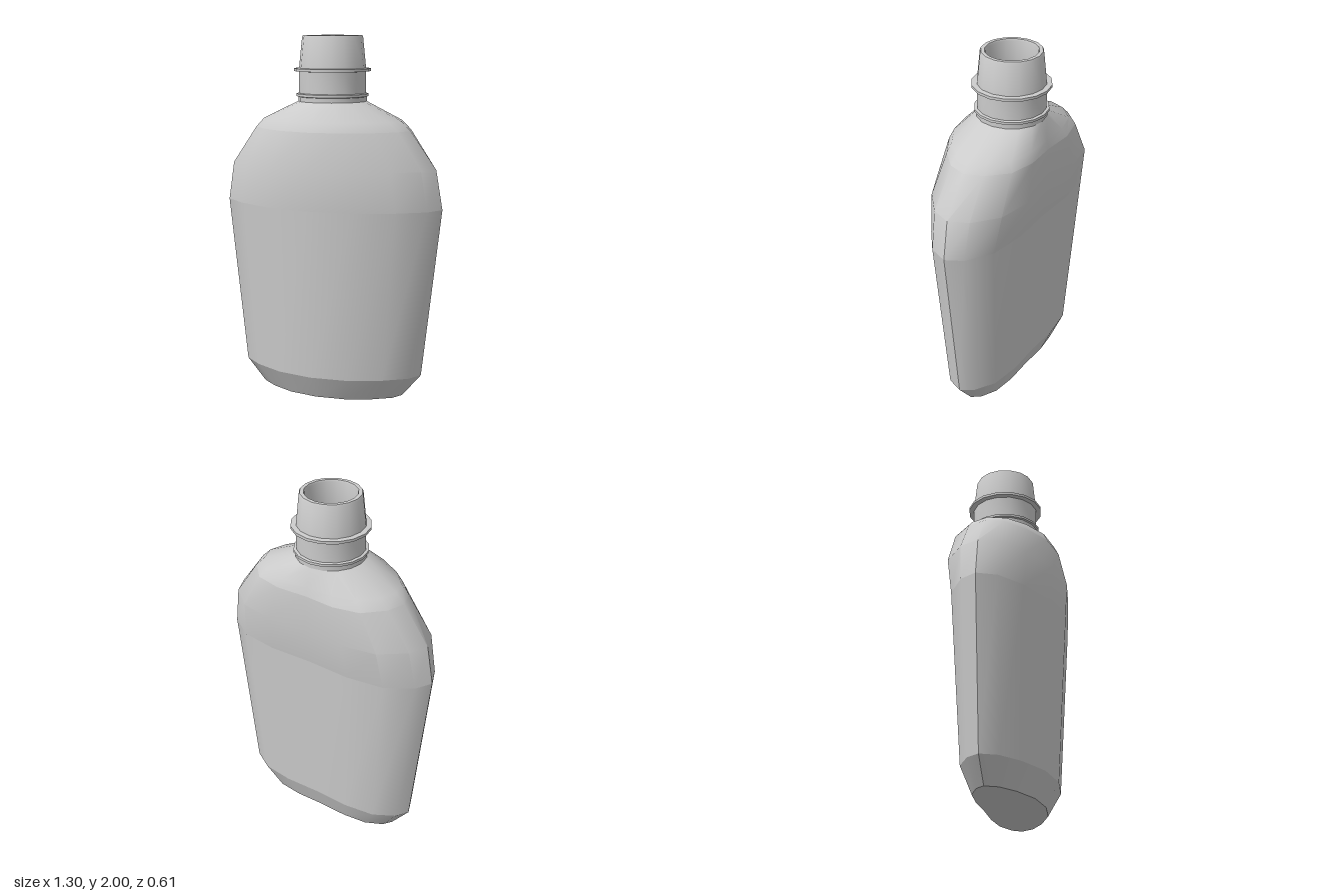
import * as THREE from 'three';
import { toCreasedNormals } from 'three/addons/utils/BufferGeometryUtils.js';

const SIDES = 16;
const AXIS_Z = -0.055; // neck axis, behind the middle of the body
const CREASE = 0.66;

// Body rings: height, half width, front depth, back depth, blend towards a circle
const RINGS = [
  [0, 0.43, 0.225, 0.11, 0],
  [0.13, 0.54, 0.295, 0.16, 0],
  [1.07, 0.65, 0.348, 0.213, 0],
  [1.285, 0.612, 0.36, 0.25, 0],
  [1.49, 0.462, 0.315, 0.24, 0],
  [1.54, 0.41, 0.29, 0.226, 0.3],
  [1.64, 0.19, 0.19, 0.185, 1],
];

// Depth at each step from the front middle, round the side, to the back middle
const DEPTH = [1, 0.9, 0.62, 0.31, 0, -0.43, -0.86, -1, -0.96];

function ringPoint([y, width, front, back, round], k) {
  const step = ((k % SIDES) + SIDES) % SIDES;
  const angle = (step / SIDES) * Math.PI * 2;
  const flat = DEPTH[Math.min(step, SIDES - step)];
  const depth = THREE.MathUtils.lerp(flat, Math.cos(angle), round);
  return [width * Math.sin(angle), y, AXIS_Z + depth * (depth > 0 ? front : back)];
}

function fromTriangles(positions) {
  const geometry = new THREE.BufferGeometry();
  geometry.setAttribute('position', new THREE.Float32BufferAttribute(positions, 3));
  return toCreasedNormals(geometry, CREASE);
}

// Smooth band of wall through consecutive rings
function bandGeometry(rings) {
  const positions = [];
  for (let i = 0; i < rings.length - 1; i++) {
    for (let k = 0; k < SIDES; k++) {
      const a = ringPoint(rings[i], k);
      const b = ringPoint(rings[i], k + 1);
      const c = ringPoint(rings[i + 1], k + 1);
      const d = ringPoint(rings[i + 1], k);
      positions.push(...a, ...b, ...c, ...a, ...c, ...d);
    }
  }
  return fromTriangles(positions);
}

// Flat underside
function baseGeometry(ring) {
  const positions = [];
  for (let k = 0; k < SIDES; k++) {
    positions.push(0, ring[0], 0, ...ringPoint(ring, k + 1), ...ringPoint(ring, k));
  }
  return fromTriangles(positions);
}

export function createModel() {
  const model = new THREE.Group();
  model.name = 'flask';
  const material = new THREE.MeshStandardMaterial({ color: 0xcccccc, side: THREE.DoubleSide });
  const add = (name, geometry) => {
    const mesh = new THREE.Mesh(geometry, material);
    mesh.name = name;
    model.add(mesh);
    return mesh;
  };

  // Body in bands, so that the edges between them stay crisp
  add('base', baseGeometry(RINGS[0]));
  add('bottomBevel', bandGeometry(RINGS.slice(0, 2)));
  add('bodyWall', bandGeometry(RINGS.slice(1, 3)));
  add('upperBody', bandGeometry(RINGS.slice(2, 5)));
  add('shoulder', bandGeometry(RINGS.slice(4)));

  // Neck: up the outside with a thin bead and a flange, over the lip, down the inside
  const profile = [
    [0.19, 1.64], [0.19, 1.665], [0.2, 1.668], [0.2, 1.682], [0.185, 1.685],
    [0.185, 1.803], [0.213, 1.805], [0.213, 1.82], [0.185, 1.822],
    [0.168, 1.99], [0.163, 2], [0.143, 2], [0.139, 1.99], [0.16, 1.82], [0.165, 1.64],
  ].map(([r, y]) => new THREE.Vector2(r, y));
  const neck = add('neck', toCreasedNormals(new THREE.LatheGeometry(profile, SIDES), CREASE));
  neck.position.z = AXIS_Z;

  return model;
}
